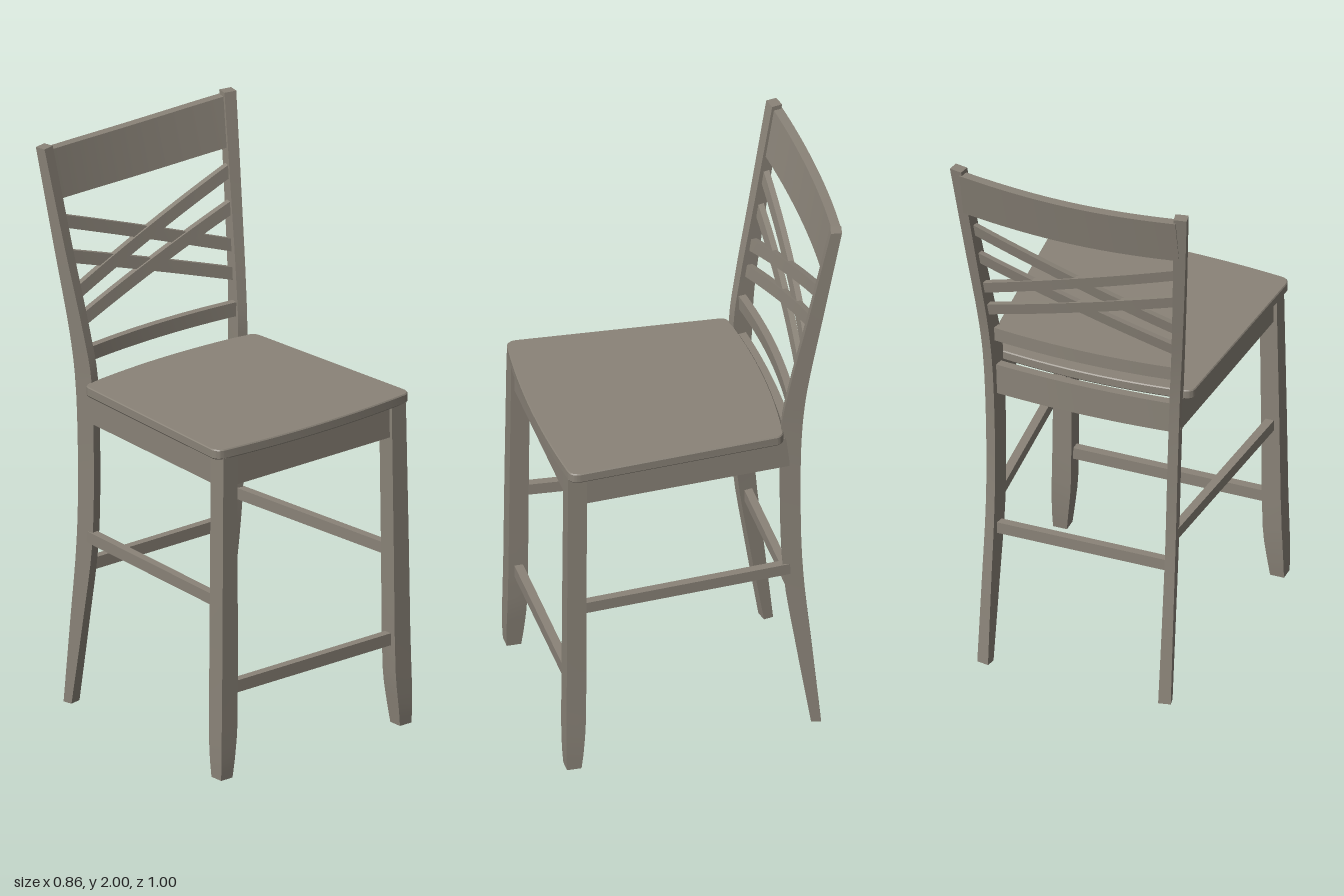
import * as THREE from 'three';
import { toCreasedNormals } from 'three/addons/utils/BufferGeometryUtils.js';

const wood = new THREE.MeshStandardMaterial({ color: 0x8a8378 });
wood.name = 'greyWood';

// Skin a row of four-cornered sections, cap both ends, and face it outwards
function loft(name, sections, crease = 0.5) {
  const tris = [];
  const quad = (a, b, c, d) => tris.push([a, b, c], [a, c, d]);
  for (let i = 0; i < sections.length - 1; i++) {
    const s = sections[i], t = sections[i + 1];
    for (let k = 0; k < 4; k++) quad(s[k], s[(k + 1) % 4], t[(k + 1) % 4], t[k]);
  }
  const end = sections[sections.length - 1];
  quad(...[...sections[0]].reverse());
  quad(...end);
  const cross = new THREE.Vector3();
  const volume = tris.reduce((v, [a, b, c]) => v + a.dot(cross.crossVectors(b, c)), 0);
  const points = tris.flatMap(([a, b, c]) => (volume > 0 ? [a, b, c] : [a, c, b]));
  const geo = new THREE.BufferGeometry().setFromPoints(points);
  geo.computeVertexNormals();
  const mesh = new THREE.Mesh(toCreasedNormals(geo, crease), wood);
  mesh.name = name;
  return mesh;
}

// Upright post from rows of [y, x, z, width, depth]
function post(name, rows, side, turn, steps) {
  const centre = new THREE.CatmullRomCurve3(rows.map(r => new THREE.Vector3(r[1], r[0], r[2])));
  const size = new THREE.CatmullRomCurve3(rows.map(r => new THREE.Vector3(r[3], 0, r[4])));
  const sections = [];
  for (let i = 0; i <= steps; i++) {
    const c = centre.getPoint(i / steps), s = size.getPoint(i / steps);
    sections.push([[-1, -1], [1, -1], [1, 1], [-1, 1]].map(([u, v]) => {
      const dx = u * s.x / 2, dz = v * s.z / 2;
      return new THREE.Vector3(
        side * (c.x + dx * Math.cos(turn) - dz * Math.sin(turn)),
        c.y,
        c.z + dx * Math.sin(turn) + dz * Math.cos(turn));
    }));
  }
  return loft(name, sections);
}

// Cross rail between x0 and x1; y(t) is its mid height, z(x, y) its mid depth
function rail(name, x0, x1, y, height, z, depth, steps = 12) {
  const sections = [];
  for (let i = 0; i <= steps; i++) {
    const t = i / steps, x = x0 + (x1 - x0) * t;
    sections.push([[-1, -1], [1, -1], [1, 1], [-1, 1]].map(([u, v]) => {
      const py = y(t) + u * height / 2;
      return new THREE.Vector3(x, py, z(x, py) + v * depth / 2);
    }));
  }
  return loft(name, sections);
}

// Side bar running front to back, following the taper of the seat
function sideBar(name, side, y0, y1, xFront, xBack, zFront, zBack, width) {
  const section = (x, z) => [[-1, y0], [1, y0], [1, y1], [-1, y1]]
    .map(([u, y]) => new THREE.Vector3(side * (x + u * width / 2), y, z));
  return loft(name, [section(xFront, zFront), section(xBack, zBack)]);
}

function seat() {
  // Outline drawn with -z upwards, then laid flat
  const s = new THREE.Shape();
  s.moveTo(-0.395, -0.474);
  s.quadraticCurveTo(0, -0.519, 0.395, -0.474);
  s.quadraticCurveTo(0.428, -0.468, 0.424, -0.43);
  s.lineTo(0.376, 0.255);
  s.quadraticCurveTo(0.374, 0.282, 0.345, 0.287);
  s.quadraticCurveTo(0, 0.335, -0.345, 0.287);
  s.quadraticCurveTo(-0.374, 0.282, -0.376, 0.255);
  s.lineTo(-0.424, -0.43);
  s.quadraticCurveTo(-0.428, -0.468, -0.395, -0.474);
  const geo = new THREE.ExtrudeGeometry(s, {
    depth: 0.027, curveSegments: 12,
    bevelEnabled: true, bevelThickness: 0.004, bevelSize: 0.003, bevelOffset: -0.003, bevelSegments: 1,
  });
  geo.rotateX(-Math.PI / 2).translate(0, 1.154, 0);
  const mesh = new THREE.Mesh(toCreasedNormals(geo, 0.5), wood);
  mesh.name = 'seat';
  return mesh;
}

export function createModel() {
  const chair = new THREE.Group();
  chair.name = 'counterChair';
  chair.add(seat());

  const frontLeg = [
    [0, 0.392, 0.457, 0.05, 0.05],
    [0.06, 0.389, 0.455, 0.058, 0.06],
    [0.2, 0.381, 0.45, 0.069, 0.068],
    [0.65, 0.375, 0.446, 0.066, 0.067],
    [1.153, 0.369, 0.441, 0.062, 0.066],
  ];
  const backPost = [
    [0, 0.325, -0.405, 0.043, 0.034],
    [0.3, 0.322, -0.365, 0.038, 0.053],
    [0.6, 0.319, -0.328, 0.035, 0.067],
    [0.9, 0.322, -0.317, 0.035, 0.068],
    [1.2, 0.332, -0.32, 0.035, 0.07],
    [1.35, 0.344, -0.338, 0.036, 0.061],
    [1.65, 0.372, -0.392, 0.04, 0.048],
    [2, 0.402, -0.455, 0.045, 0.037],
  ];
  for (const [label, side] of [['left', 1], ['right', -1]]) {
    chair.add(
      post(label + 'FrontLeg', frontLeg, side, 0, 12),
      post(label + 'BackPost', backPost, side, 0.2, 28),
      sideBar(label + 'Apron', side, 1.04, 1.154, 0.372, 0.325, 0.43, -0.31, 0.035),
      sideBar(label + 'Stretcher', side, 0.6, 0.64, 0.375, 0.319, 0.43, -0.32, 0.03));
  }

  // Front and back aprons and stretchers
  const bow = (z, b, half) => x => z - b * (1 - (x / half) ** 2);
  chair.add(
    rail('frontApron', -0.36, 0.36, () => 1.097, 0.114, () => 0.445, 0.035, 1),
    rail('backApron', -0.325, 0.325, () => 1.097, 0.114, bow(-0.318, 0.015, 0.325), 0.03),
    rail('frontStretcher', -0.37, 0.37, () => 0.312, 0.043, () => 0.447, 0.03, 1),
    rail('backStretcher', -0.315, 0.315, () => 0.51, 0.042, () => -0.338, 0.028, 1));

  // Curved back rails
  chair.add(
    rail('lowerBackRail', -0.335, 0.335, () => 1.276, 0.05, bow(-0.32, 0.022, 0.335), 0.026),
    rail('topRail', -0.39, 0.39, t => 1.9 - 0.012 * Math.sin(Math.PI * t), 0.17,
      (x, y) => -0.445 - 0.2 * (y - 1.9) - 0.025 * (1 - (x / 0.39) ** 2), 0.032, 20));

  // Two crossing pairs of slats
  const slats = [[0.367, 1.738, 0.347, 1.483], [0.358, 1.615, 0.338, 1.388]];
  for (const [xa, ya, xb, yb] of slats) {
    for (const side of [1, -1]) {
      chair.add(rail(side > 0 ? 'risingSlat' : 'fallingSlat', side * xa, -side * xb,
        t => ya + (yb - ya) * t, 0.044,
        (x, y) => -0.35 - 0.18 * (y - 1.4) - 0.012 * (1 - (x / 0.36) ** 2) + side * 0.003, 0.02));
    }
  }
  return chair;
}
